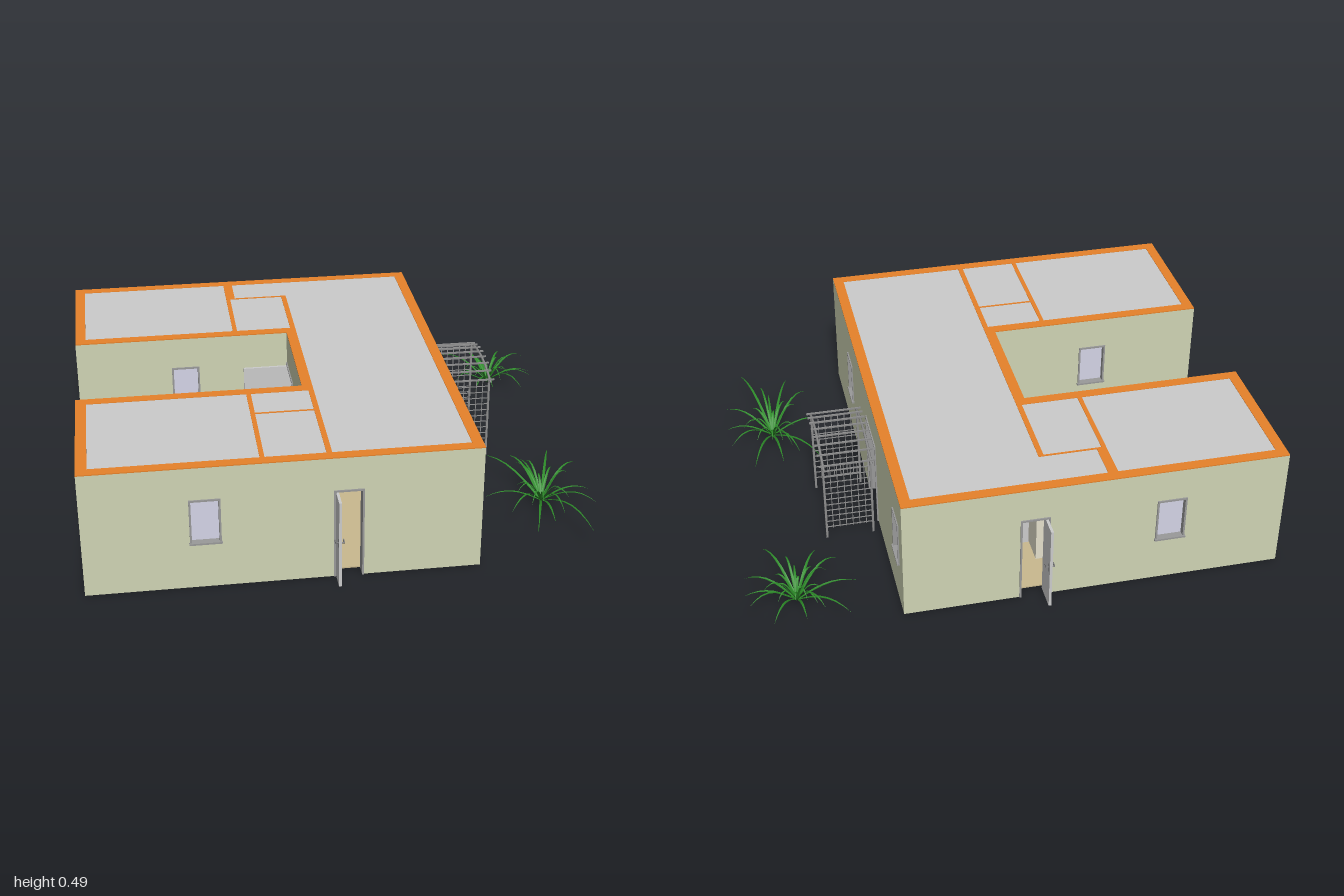
import * as THREE from 'three';

const mat = (color, side = THREE.FrontSide) => new THREE.MeshStandardMaterial({ color, side });
const M = {
  wall: mat(0xcfd4b4), cap: mat(0xe6822a), ceiling: mat(0xc4c4c4), floor: mat(0xc9b98f),
  inner: mat(0xe4e0cc), frame: mat(0x999999), glass: mat(0xd4d4e6), door: mat(0xcccccc),
  handle: mat(0x777777), trellis: mat(0x8c8c8c), leaf: mat(0x2c8a28, THREE.DoubleSide),
};
const H = 0.49, T = 0.04;

function mesh(parent, name, geo, material) {
  const m = new THREE.Mesh(geo, material);
  m.name = name;
  parent.add(m);
  return m;
}
// Box given by its minimum and maximum corners
function box(parent, name, [x0, y0, z0], [x1, y1, z1], material) {
  const g = new THREE.BoxGeometry(x1 - x0, y1 - y0, z1 - z0);
  g.translate((x0 + x1) / 2, (y0 + y1) / 2, (z0 + z1) / 2);
  return mesh(parent, name, g, material);
}
function group(parent, name) {
  const g = new THREE.Group();
  g.name = name;
  parent.add(g);
  return g;
}

// U-shaped plan, shrunk inwards by d
const plan = (d) => [
  [-0.99 + d, -0.81 + d], [0.44 - d, -0.81 + d], [0.44 - d, 0.81 - d], [-0.99 + d, 0.81 - d],
  [-0.99 + d, 0.24 + d], [-0.14 + d, 0.24 + d], [-0.14 + d, -0.25 - d], [-0.99 + d, -0.25 - d],
].map(([x, z]) => new THREE.Vector2(x, z));

// Horizontal slab from a plan shape
function slab(parent, name, shape, top, depth, material) {
  const g = new THREE.ExtrudeGeometry(shape, { depth, bevelEnabled: false });
  g.rotateX(Math.PI / 2).translate(0, top, 0);
  return mesh(parent, name, g, material);
}

// Wall along x or z from a to b; 'at' is its lower edge across. Openings: [u0, u1, y0, y1]
function wall(parent, name, axis, a, b, at, openings) {
  const s = new THREE.Shape().moveTo(a, 0);
  for (const [u0, u1, y0, y1] of openings) {
    if (y0 === 0) s.lineTo(u0, 0).lineTo(u0, y1).lineTo(u1, y1).lineTo(u1, 0);
    else s.holes.push(new THREE.Path().moveTo(u0, y0).lineTo(u0, y1).lineTo(u1, y1).lineTo(u1, y0).closePath());
  }
  s.lineTo(b, 0).lineTo(b, H - 0.004).lineTo(a, H - 0.004).closePath();
  const g = new THREE.ExtrudeGeometry(s, { depth: T, bevelEnabled: false });
  if (axis === 'x') g.translate(0, 0, at);
  else g.rotateY(-Math.PI / 2).translate(at + T, 0, 0);
  mesh(parent, name, g, M.wall);
}

// Surround in local space: opening centred on x = 0, outer wall face at z = 0
function surround(parent, w, y0, y1, bottom) {
  const f = 0.007, back = -T - 0.003, out = 0.005;
  for (const s of [-1, 1]) {
    const e = s * w / 2, i = e - s * f;
    box(parent, 'frameSide', [Math.min(e, i), y0, back], [Math.max(e, i), y1, out], M.frame);
  }
  box(parent, 'frameTop', [-w / 2, y1 - f, back], [w / 2, y1, out], M.frame);
  if (bottom) box(parent, 'windowSill', [-w / 2 - 0.003, y0, back], [w / 2 + 0.003, y0 + f, 0.01], M.frame);
}
function windowUnit(parent, x, z, angle) {
  const g = group(parent, 'window');
  surround(g, 0.112, 0.18, 0.36, true);
  box(g, 'windowPane', [-0.05, 0.185, -0.024], [0.05, 0.355, -0.018], M.glass);
  g.position.set(x, 0, z);
  g.rotation.y = angle;
}
// Doorway with an optional leaf standing open outwards on side s
function doorway(parent, x, z, angle, w, s = 0, reach = 0) {
  const g = group(parent, 'doorway');
  surround(g, w, 0, 0.358, false);
  if (s) {
    const c = s * (w / 2 - 0.013);
    box(g, 'doorLeaf', [c - 0.005, 0.004, -0.025], [c + 0.005, 0.348, reach], M.door);
    for (const d of [-1, 1]) {
      const knob = mesh(g, 'doorHandle', new THREE.CylinderGeometry(0.003, 0.003, 0.014, 8), M.handle);
      knob.rotation.z = Math.PI / 2;
      knob.position.set(c + d * 0.01, 0.18, reach - 0.012);
      box(g, 'handleLever', [c + d * 0.015 - 0.002, 0.178, reach - 0.032],
        [c + d * 0.015 + 0.002, 0.183, reach - 0.01], M.handle);
    }
    box(g, 'lockPlate', [c - 0.006, 0.16, reach - 0.016], [c + 0.006, 0.195, reach - 0.008], M.handle);
  }
  g.position.set(x, 0, z);
  g.rotation.y = angle;
}

// Folded, tapering blade arching from the origin towards (dx, dz)
function blade(dx, dz, height, width) {
  const n = 7, pos = [], idx = [], L = Math.hypot(dx, dz);
  for (let i = 0; i <= n; i++) {
    const t = i / n, y = height * Math.sin(t * 2.3), w = width * (1 - t) * (0.6 + 1.2 * t);
    for (const k of [-1, 0, 1])
      pos.push(dx * t - (dz / L) * w * k, y + Math.abs(k) * w * 0.5, dz * t + (dx / L) * w * k);
    if (i < n) for (const k of [0, 1]) {
      const a = i * 3 + k;
      idx.push(a, a + 1, a + 3, a + 1, a + 4, a + 3);
    }
  }
  const g = new THREE.BufferGeometry();
  g.setAttribute('position', new THREE.Float32BufferAttribute(pos, 3));
  g.setIndex(idx);
  g.computeVertexNormals();
  return g;
}
const TIPS = [[-0.23, 0.01], [-0.18, -0.18], [-0.09, -0.15], [-0.02, -0.16], [0.1, -0.18], [0.18, -0.09],
  [0.19, 0.01], [0.18, 0.09], [0.1, 0.23], [-0.01, 0.15], [-0.1, 0.2], [-0.17, 0.12]];
function plant(parent, x, z, sx, sz) {
  const g = group(parent, 'plant');
  TIPS.forEach(([dx, dz], i) => {
    mesh(g, 'longLeaf', blade(dx * sx, dz * sz, 0.06 + 0.02 * (i % 3), 0.008), M.leaf);
    const a = 0.26, c = Math.cos(a), s = Math.sin(a), k = 0.42 + 0.1 * (i % 3);
    mesh(g, 'shortLeaf', blade((dx * c - dz * s) * sx * k, (dx * s + dz * c) * sz * k,
      0.075 + 0.018 * (i % 3), 0.007), M.leaf);
  });
  g.position.set(x, 0, z);
}

// Arched trellis over the side entrance
function arbor(parent) {
  const g = group(parent, 'arbor'), X = [0.47, 0.65], zc = -0.155, r = 0.003;
  const archY = (z) => 0.342 + 0.038 * (1 - ((z - zc) / 0.19) ** 2);
  for (const z of [zc - 0.16, zc + 0.16]) {
    for (const x of X) box(g, 'post', [x - 0.004, 0, z - 0.004], [x + 0.004, 0.35, z + 0.004], M.trellis);
    for (let i = 1; i < 7; i++) {
      const x = X[0] + (i * 0.18) / 7;
      box(g, 'latticeUpright', [x - 0.0015, 0.045, z - 0.0015], [x + 0.0015, 0.345, z + 0.0015], M.trellis);
    }
    for (let i = 0; i < 12; i++) {
      const y = 0.05 + i * 0.0265;
      box(g, 'latticeRail', [X[0], y - 0.0015, z - 0.0015], [X[1], y + 0.0015, z + 0.0015], M.trellis);
    }
  }
  for (const x of X) {
    const pts = [];
    for (let i = 0; i <= 8; i++) {
      const z = zc - 0.19 + (i * 0.38) / 8;
      pts.push(new THREE.Vector3(x, archY(z), z));
    }
    mesh(g, 'archRib', new THREE.TubeGeometry(new THREE.CatmullRomCurve3(pts), 20, 0.005, 6), M.trellis);
  }
  for (let i = 0; i < 8; i++) {
    const z = zc - 0.175 + i * 0.05, y = archY(z) + 0.004;
    box(g, 'archSlat', [0.452, y - r, z - r], [0.667, y + r, z + r], M.trellis);
  }
}

export function createModel() {
  const root = new THREE.Group();
  root.name = 'courtyardHouse';

  // Outer walls with openings
  const win = (c) => [c - 0.056, c + 0.056, 0.18, 0.36];
  const W = -0.555, N = -0.69, S = 0.362, door = [-0.1, 0.01, 0, 0.358];
  const walls = group(root, 'walls');
  wall(walls, 'frontWall', 'x', -0.99, 0.44, 0.77, [win(W), door]);
  wall(walls, 'backWall', 'x', -0.99, 0.44, -0.81, [win(W), door]);
  wall(walls, 'entranceWall', 'z', -0.77, 0.77, 0.4, [win(N), [-0.26, -0.045, 0, 0.358], win(S)]);
  wall(walls, 'backWingEndWall', 'z', -0.77, -0.29, -0.99, [win(N)]);
  wall(walls, 'frontWingEndWall', 'z', 0.28, 0.77, -0.99, [win(S)]);
  wall(walls, 'backCourtWall', 'x', -0.99, -0.1, -0.29, [win(W)]);
  wall(walls, 'frontCourtWall', 'x', -0.99, -0.1, 0.24, [win(W)]);
  wall(walls, 'courtDoorWall', 'z', -0.25, 0.24, -0.14, [[-0.243, -0.045, 0, 0.358]]);

  // Floor, ceiling and wall caps
  const rim = new THREE.Shape(plan(0));
  rim.holes.push(new THREE.Path(plan(T)));
  slab(root, 'wallCap', rim, H, 0.004, M.cap);
  slab(root, 'ceiling', new THREE.Shape(plan(T)), H - 0.002, 0.008, M.ceiling);
  slab(root, 'floor', new THREE.Shape(plan(T)), 0.008, 0.005, M.floor);

  // Partitions: [x0, z0, x1, z1]
  for (const [x0, z0, x1, z1] of [
    [-0.355, -0.77, -0.338, -0.29], [-0.338, -0.77, -0.318, -0.62], [-0.338, -0.624, -0.1, -0.616],
    [-0.12, -0.616, -0.1, -0.29], [-0.355, 0.28, -0.338, 0.77], [-0.12, 0.28, -0.1, 0.77],
    [-0.338, 0.436, -0.12, 0.444]]) {
    box(root, 'partition', [x0, 0, z0], [x1, H - 0.011, z1], M.inner);
    box(root, 'partitionCap', [x0, H - 0.004, z0], [x1, H, z1], M.cap);
  }
  // Cupboards inside the hall
  box(root, 'cupboard', [-0.098, 0.008, -0.52], [0.03, 0.31, -0.42], M.door);
  box(root, 'wallCupboard', [-0.098, 0.26, -0.42], [-0.045, 0.38, -0.32], M.door);

  // Windows and doors
  const q = Math.PI / 2;
  for (const [x, z, a] of [[W, 0.81, 0], [W, -0.81, 2 * q], [W, -0.25, 0], [W, 0.24, 2 * q],
    [0.44, N, q], [0.44, S, q], [-0.99, N, -q], [-0.99, S, -q]]) windowUnit(root, x, z, a);
  doorway(root, -0.045, 0.81, 0, 0.11, -1, 0.075);
  doorway(root, -0.045, -0.81, 2 * q, 0.11, 1, 0.075);
  doorway(root, -0.14, -0.144, -q, 0.198, -1, 0.18);
  doorway(root, 0.44, -0.1525, q, 0.215);

  // Garden
  arbor(root);
  plant(root, 0.81, -0.65, 1, 1);
  plant(root, 0.78, 0.4, 1, 1.62);
  plant(root, -0.58, -0.03, 1.5, 1.02);
  return root;
}
